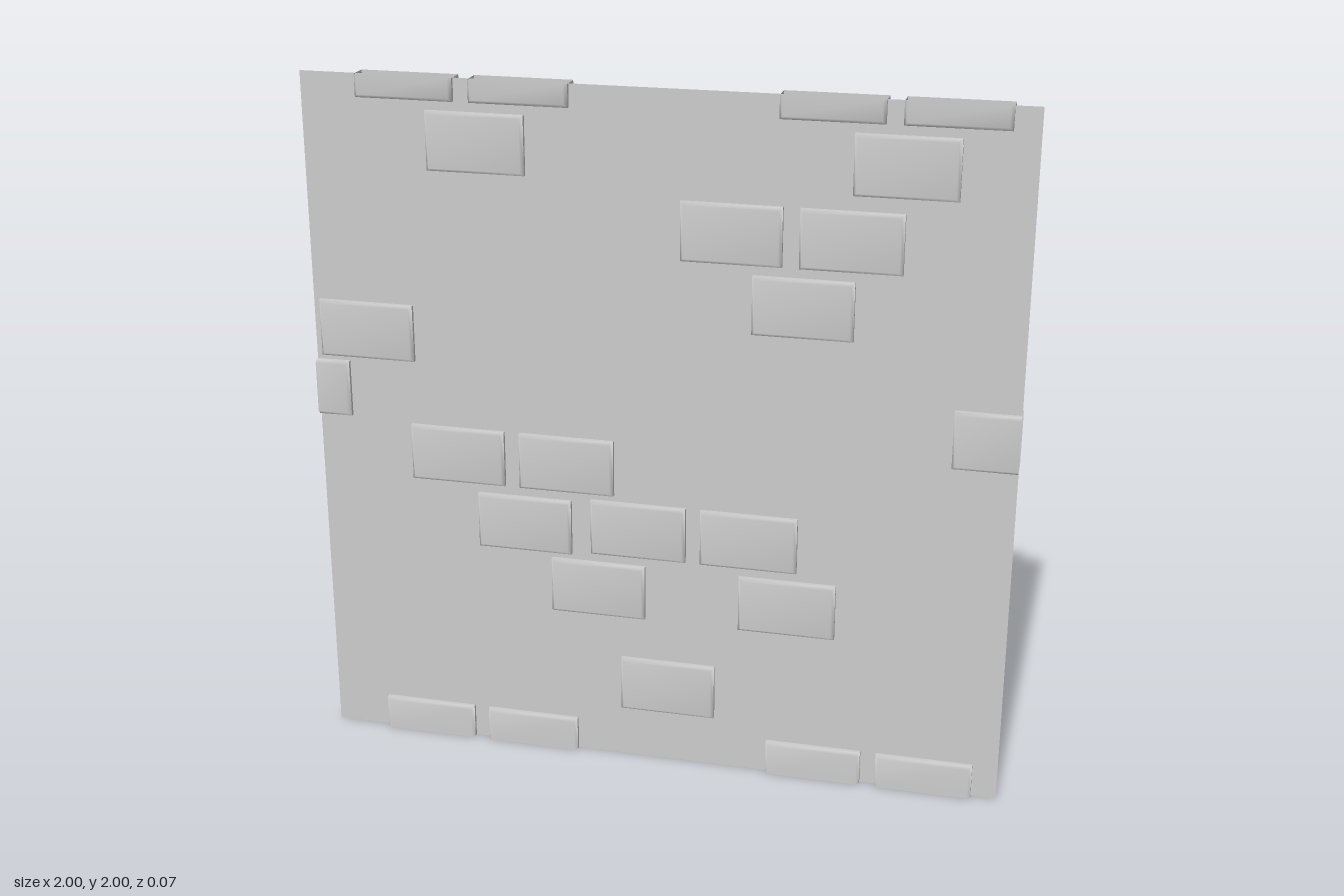
import * as THREE from 'three';

const W = 0.277, H = 0.165;      // brick size
const BACK = -0.034, FRONT = 0.034, BEVEL = 0.009;
const WALL_Z = 0.014;

// A brick clipped to the panel; clipped sides stay open, the others get a wall and a front bevel.
function brickGeometry(cx, cy) {
  const x0 = Math.max(cx - W / 2, -1), x1 = Math.min(cx + W / 2, 1);
  const y0 = Math.max(cy - H / 2, 0), y1 = Math.min(cy + H / 2, 2);
  const open = [y0 === 0, x1 === 1, y1 === 2, x0 === -1]; // bottom, right, top, left
  const inset = open.map(o => (o ? 0 : BEVEL));

  const ring = (z, b) => [
    [x0 + b[3], y0 + b[0], z], [x1 - b[1], y0 + b[0], z],
    [x1 - b[1], y1 - b[2], z], [x0 + b[3], y1 - b[2], z],
  ];
  const none = [0, 0, 0, 0];
  const back = ring(BACK, none), rim = ring(FRONT - BEVEL, none), face = ring(FRONT, inset);

  const pos = [], index = [];
  const add = pts => {
    const start = pos.length / 3;
    pts.forEach(p => pos.push(...p));
    return start;
  };
  const quad = (a, b, c, d) => index.push(a, b, c, a, c, d);

  // front face and bevel share vertices so the edge shades softly
  const r = add(rim), f = add(face);
  quad(f, f + 1, f + 2, f + 3);
  // flat back
  const k = add(back);
  quad(k + 3, k + 2, k + 1, k);
  // side walls
  for (let i = 0; i < 4; i++) {
    if (open[i]) continue;
    const j = (i + 1) % 4;
    quad(r + i, r + j, f + j, f + i);
    const s = add([back[i], back[j], rim[j], rim[i]]);
    quad(s, s + 1, s + 2, s + 3);
  }
  const g = new THREE.BufferGeometry();
  g.setAttribute('position', new THREE.Float32BufferAttribute(pos, 3));
  g.setIndex(index);
  g.computeVertexNormals();
  return g;
}

export function createModel() {
  const model = new THREE.Group();
  model.name = 'brickWallPanel';
  const material = new THREE.MeshStandardMaterial({ color: 0xcccccc, side: THREE.DoubleSide });

  // thin plaster sheet
  const sheet = new THREE.Mesh(new THREE.PlaneGeometry(2, 2), material);
  sheet.name = 'plasterSheet';
  sheet.position.set(0, 1, WALL_Z);
  model.add(sheet);

  // exposed bricks by row: height of the row centre, then brick centres
  const rows = [
    [1.827, [-0.503, 0.666]],
    [1.62, [0.206, 0.529]],
    [1.427, [0.404]],
    [1.27, [-0.842]],
    [1.09, [0.96, -1.04]],
    [0.914, [-0.583, -0.262]],
    [0.73, [-0.053, 0.267]],
    [0.72, [-0.388]],
    [0.537, [-0.171, 0.38]],
    [0.24, [0.035]],
  ];
  // the row cut by the top edge continues at the bottom edge
  for (const y of [0.019, 2.019]) rows.push([y, [-0.7, -0.378, 0.468, 0.79]]);

  const bricks = new THREE.Group();
  bricks.name = 'bricks';
  for (const [y, xs] of rows) {
    for (const x of xs) {
      const brick = new THREE.Mesh(brickGeometry(x, y), material);
      brick.name = 'brick';
      bricks.add(brick);
    }
  }
  model.add(bricks);
  return model;
}
